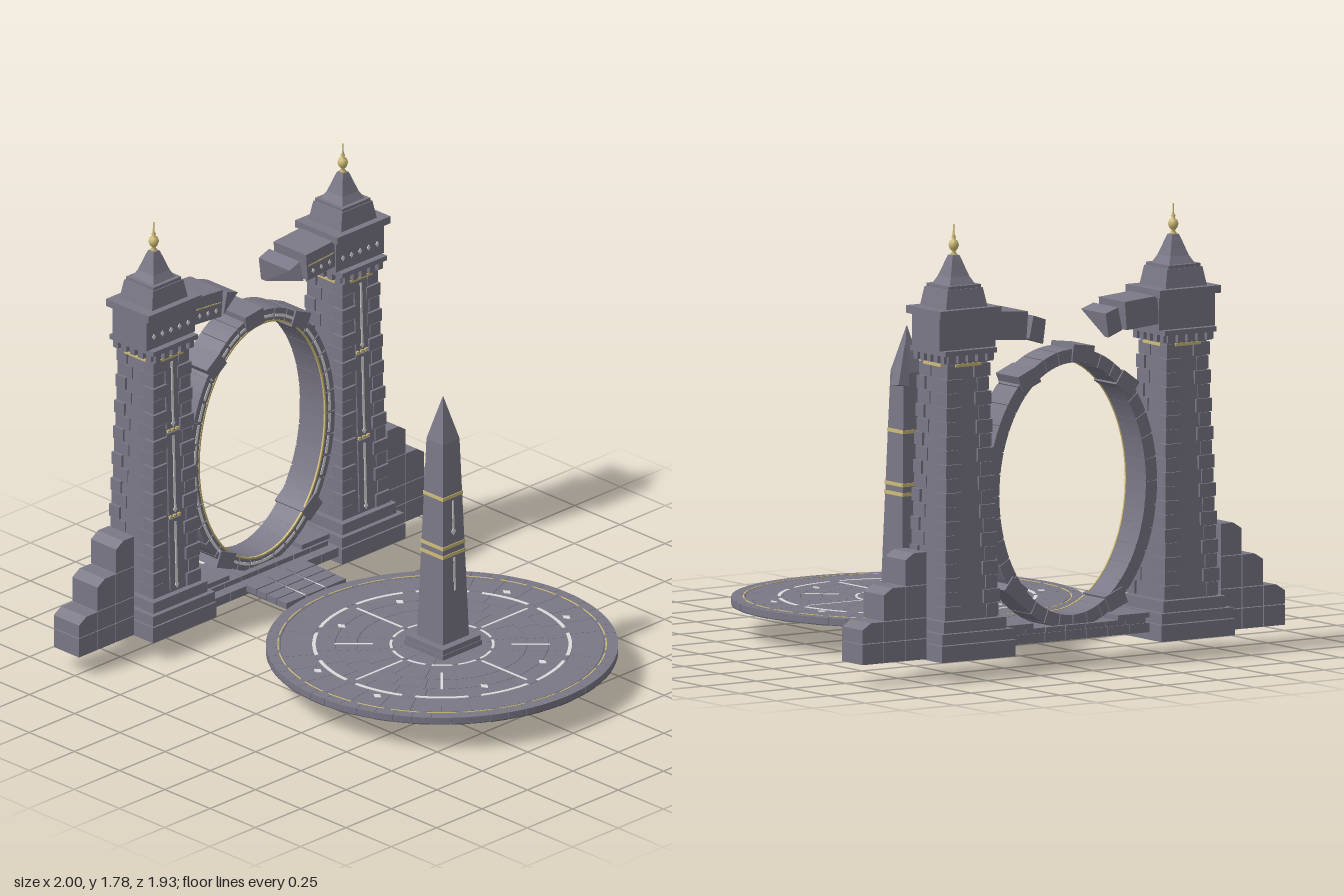
import * as THREE from 'three';

const mat = (name, color) => {
  const m = new THREE.MeshStandardMaterial({ color });
  m.name = name;
  return m;
};
const stone = mat('stone', 0x7b7887);
const dark = mat('dark stone', 0x5a5862);
const white = mat('pale inlay', 0xdddcdc);
const gold = mat('gold', 0xcfbd78);

const group = (parent, name, x = 0, y = 0, z = 0) => {
  const g = new THREE.Group();
  g.name = name;
  g.position.set(x, y, z);
  parent.add(g);
  return g;
};
const add = (parent, name, geo, m, x = 0, y = 0, z = 0) => {
  const mesh = new THREE.Mesh(geo, m);
  mesh.name = name;
  mesh.position.set(x, y, z);
  parent.add(mesh);
  return mesh;
};
// Box given by its lower and upper corners
const block = (parent, name, m, x0, x1, y0, y1, z0, z1) =>
  add(parent, name, new THREE.BoxGeometry(x1 - x0, y1 - y0, z1 - z0), m, (x0 + x1) / 2, (y0 + y1) / 2, (z0 + z1) / 2);
// Tapered box from y0 to y1: half widths a (bottom) and b (top)
const taper = (parent, name, m, y0, y1, ax, az, bx = ax, bz = az) => {
  const geo = new THREE.BoxGeometry(2, y1 - y0, 2);
  const p = geo.attributes.position;
  for (let i = 0; i < p.count; i++) {
    const top = p.getY(i) > 0;
    p.setX(i, p.getX(i) * (top ? bx : ax));
    p.setZ(i, p.getZ(i) * (top ? bz : az));
  }
  geo.computeVertexNormals();
  return add(parent, name, geo, m, 0, (y0 + y1) / 2, 0);
};
// Curved slab between two ellipses, from angle a0 to a1
const sector = (rx0, ry0, rx1, ry1, a0, a1, depth, n = 4) => {
  const pts = [];
  for (let i = 0; i <= n; i++) {
    const a = a0 + (a1 - a0) * i / n;
    pts.push(new THREE.Vector2(rx1 * Math.cos(a), ry1 * Math.sin(a)));
  }
  for (let i = n; i >= 0; i--) {
    const a = a0 + (a1 - a0) * i / n;
    pts.push(new THREE.Vector2(rx0 * Math.cos(a), ry0 * Math.sin(a)));
  }
  return new THREE.ExtrudeGeometry(new THREE.Shape(pts), { depth, bevelEnabled: false });
};
const diamond = (parent, s, x, y, z) => {
  const geo = new THREE.BoxGeometry(s, s, 0.005).rotateZ(Math.PI / 4).scale(0.75, 1, 1);
  return add(parent, 'diamondInlay', geo, white, x, y, z);
};
const TAU = Math.PI * 2;

function plaza(root) {
  const g = group(root, 'roundPlaza', 0, 0.115, 0.275);
  const flat = (name, m, r0, r1, a0, a1, y0, y1) =>
    add(g, name, sector(r0, r0, r1, r1, a0, a1, y1 - y0, 6).rotateX(-Math.PI / 2), m, 0, y0, 0);
  // Rings of paving over dark undersides: inner radius, outer radius, number of slabs
  [[0.03, 0.198, 10], [0.2, 0.331, 16], [0.333, 0.416, 20], [0.418, 0.506, 24], [0.508, 0.631, 32], [0.633, 0.687, 56]]
    .forEach(([r0, r1, n], k) => {
      for (let i = 0; i < n; i++) {
        const a = (i + (k % 2) / 2) / n * TAU, b = a + TAU / n;
        flat('pavingSlab', stone, r0, r1, a, b - 0.0018 / r1, 0.004, 0.03);
        flat('slabUnderside', dark, r0, r1, a, b - 0.003 / r1, i % 2 ? 0 : 0.001, 0.004);
      }
    });
  add(g, 'plazaBed', new THREE.CylinderGeometry(0.68, 0.68, 0.014, 72), dark, 0, 0.013, 0);
  // Inlaid circles and rays
  [[0.2, 12, white, 0.01, 0.88], [0.5, 12, white, 0.014, 0.9], [0.64, 28, gold, 0.005, 0.9]].forEach(([r, n, m, w, f]) => {
    for (let i = 0; i < n; i++) flat('inlaidArc', m, r - w / 2, r + w / 2, (i + 1 - f) / n * TAU, (i + f) / n * TAU, 0.029, 0.032);
  });
  for (let i = 0; i < 8; i++) {
    const ray = group(g, 'inlaidRay');
    ray.rotation.y = i * TAU / 8;
    block(ray, 'rayInlay', white, i % 2 ? 0.27 : 0.22, i % 2 ? 0.42 : 0.47, 0.029, 0.032, -0.005, 0.005);
  }
  for (const sx of [-1, 1]) for (const sz of [-1, 1])
    for (const [x, z] of [[0.16, 0.395], [0.52, 0.165]])
      diamond(g, 0.03, sx * x, 0.03, sz * z).rotation.x = -Math.PI / 2;
}

function obelisk(root) {
  const g = group(root, 'obelisk', 0, 0, 0.28);
  const half = y => 0.072 - (y - 0.18) * 0.031;
  taper(g, 'foundation', stone, 0, 0.125, 0.131, 0.131);
  taper(g, 'plinth', stone, 0.125, 0.165, 0.107, 0.107);
  taper(g, 'plinthStep', stone, 0.165, 0.187, 0.104, 0.104);
  taper(g, 'shaft', stone, 0.187, 1.03, half(0.187), half(0.187), half(1.03), half(1.03));
  taper(g, 'pointedTip', stone, 1.03, 1.21, 0.046, 0.046, 0.001, 0.001);
  for (const y of [0.555, 0.592, 0.8]) {
    const w = half(y) + 0.003;
    taper(g, 'goldBand', gold, y - 0.007, y + 0.007, w, w);
  }
  // Split corner leaning against the tip
  const shard = taper(group(g, 'brokenCorner', 0.04, 0, -0.026), 'shard', stone, 0.98, 1.14, 0.026, 0.03, 0.006, 0.012);
  shard.rotation.set(0.1, 0, 0.2);
  // Pale lines following the sloped front
  for (const [y0, y1] of [[0.4, 0.54], [0.66, 0.78]]) {
    const y = (y0 + y1) / 2;
    const line = add(g, 'frontInlay', new THREE.BoxGeometry(0.009, y1 - y0, 0.005), white, 0, y, half(y));
    line.rotation.x = -0.031;
  }
  diamond(g, 0.024, 0, 0.65, half(0.65));
}

function tower(root, s) {
  const g = group(root, s > 0 ? 'leftTower' : 'rightTower', s * 0.52, 0, -0.797);
  const half = y => 0.122 - (y - 0.23) * 0.03;
  taper(g, 'base', stone, 0.08, 0.145, 0.174, 0.172);
  taper(g, 'baseCourse', stone, 0.148, 0.19, 0.17, 0.168);
  taper(g, 'baseStep', stone, 0.19, 0.235, 0.148, 0.148);
  taper(g, 'shaftCore', stone, 0.235, 1.25, half(0.235), half(0.235), half(1.25), half(1.25));
  // Alternating corner stones of uneven depth
  const n = 18, h = 1.0 / n;
  for (let i = 0; i < n; i++) {
    const y = 0.237 + i * h;
    for (let k = 0; k < 4; k++) {
      const odd = (i + k) % 2, e = half(y + h / 2) + (odd ? 0.01 : 0.005);
      const lx = odd ? 0.075 : 0.055, lz = odd ? 0.055 : 0.08;
      const sx = k % 2 ? 1 : -1, sz = k < 2 ? 1 : -1;
      add(g, 'cornerStone', new THREE.BoxGeometry(lx, h - 0.004, lz), stone, sx * (e - lx / 2), y + h / 2, sz * (e - lz / 2));
    }
  }
  // Front strip with pale line and gold marks
  const strip = group(g, 'frontStrip', 0, 0.735, half(0.735));
  strip.rotation.x = -0.03;
  for (const [y0, y1] of [[-0.49, -0.19], [-0.17, 0.175], [0.195, 0.49]]) {
    block(strip, 'stripPanel', stone, -0.034, 0.034, y0, y1, -0.01, 0.006);
    block(strip, 'stripInlay', white, -0.005, 0.005, y0 + 0.015, y1 - 0.015, 0.004, 0.009);
    diamond(strip, 0.02, 0, y0 + 0.018, 0.007);
  }
  for (const y of [-0.18, 0.185]) for (const x of [-0.024, 0, 0.024])
    block(strip, 'goldMark', gold, x - 0.007, x + 0.007, y - 0.005, y + 0.005, 0, 0.008);
  // Brackets and gold strips under the head, on all four sides
  taper(g, 'bracketCourse', stone, 1.24, 1.275, 0.1, 0.1);
  for (let k = 0; k < 4; k++) {
    const side = group(g, 'bracketRow');
    side.rotation.y = k * Math.PI / 2;
    block(side, 'goldStrip', gold, -0.06, 0.06, 1.228, 1.24, 0.096, 0.104);
    for (let i = -2; i <= 2; i++) block(side, 'bracket', stone, i * 0.046 - 0.013, i * 0.046 + 0.013, 1.245, 1.282, 0.09, 0.118);
  }
  taper(g, 'headSlab', stone, 1.275, 1.295, 0.122, 0.122);
  taper(g, 'head', stone, 1.295, 1.425, 0.133, 0.095);
  for (let i = -2; i <= 2; i++) diamond(g, 0.018, i * 0.047, 1.345, 0.095);
  taper(g, 'cornice', stone, 1.425, 1.455, 0.145, 0.118);
  taper(g, 'roofTier', stone, 1.455, 1.53, 0.098, 0.09, 0.083, 0.08);
  taper(g, 'roofLip', stone, 1.53, 1.543, 0.076, 0.076);
  // Concave four sided spire
  const prof = [[0.06, 1.543], [0.044, 1.573], [0.034, 1.602], [0.025, 1.63], [0.016, 1.655]];
  for (let i = 0; i < 4; i++) taper(g, 'spire', stone, prof[i][1], prof[i + 1][1], prof[i][0], prof[i][0], prof[i + 1][0], prof[i + 1][0]);
  const fin = [[0, 1.65], [0.012, 1.652], [0.013, 1.66], [0.006, 1.668], [0.016, 1.68], [0.021, 1.695], [0.016, 1.71],
    [0.006, 1.717], [0.009, 1.726], [0.004, 1.735], [0.003, 1.775], [0, 1.777]].map(p => new THREE.Vector2(...p));
  add(g, 'finial', new THREE.LatheGeometry(fin, 14), gold);

  // Broken lintel reaching inwards
  const lintel = group(g, 'brokenLintel', -s * 0.21, 1.37, 0);
  lintel.rotation.z = s * 0.08;
  block(lintel, 'lintelBlock', stone, -0.077, 0.077, -0.056, 0.056, -0.09, 0.09);
  block(lintel, 'lintelLine', gold, -0.068, 0.068, 0.003, 0.008, 0.088, 0.092);
  for (let i = -1; i <= 1; i++) diamond(lintel, 0.016, i * 0.045, -0.025, 0.09);
  const chip = new THREE.Shape([[0.017, 0.055], [0.075, 0.035], [0.062, -0.06], [-0.003, -0.035]].map(([a, b]) => new THREE.Vector2(-s * a, b)));
  const cg = new THREE.ExtrudeGeometry(chip, { depth: 0.17, bevelEnabled: false }).translate(0, 0, -0.085);
  const p = cg.attributes.position;
  // Break away the lower front so the fracture faces down
  for (let i = 0; i < p.count; i++) if (p.getY(i) < -0.05 && p.getZ(i) > 0) p.setZ(i, -0.06);
  cg.computeVertexNormals();
  add(g, 'lintelFragment', cg, stone, -s * 0.303, 1.345, 0);

  // Stepped side wall, outermost column lowest
  const wall = group(root, s > 0 ? 'leftStepWall' : 'rightStepWall', 0, 0, -0.797);
  [[0.085, 0.168, 0.25, 0.38, 0.51], [0.085, 0.168, 0.25, 0.38], [0.085, 0.168, 0.25]].forEach((ys, c) => {
    for (let i = 0; i < ys.length - 1; i++) {
      const x0 = 0.697 + c * 0.102, x1 = x0 + 0.099, y0 = ys[i], y1 = ys[i + 1] - 0.003;
      const cut = i === ys.length - 2 ? 0.025 : 0.001;
      const sh = new THREE.Shape([[x0, y0], [x1, y0], [x1, y1 - cut], [x1 - cut * 1.6, y1], [x0, y1]].map(([a, b]) => new THREE.Vector2(s * a, b)));
      add(wall, 'wallBlock', new THREE.ExtrudeGeometry(sh, { depth: 0.14, bevelEnabled: false }), stone, 0, 0, -0.07);
    }
  });
}

function ring(root) {
  const g = group(root, 'ovalRing', 0, 0.7, -0.79);
  const n = 36;
  for (let i = 0; i < n; i++) {
    const a = i / n * TAU, b = a + TAU / n;
    add(g, 'ringStone', sector(0.347, 0.497, 0.4, 0.55, a, b - 0.01, 0.14, 3), stone, 0, 0, -0.07);
    add(g, 'ringInlay', sector(0.365, 0.515, 0.377, 0.527, a + 0.008, b - 0.018, 0.004, 3), white, 0, 0, 0.068);
  }
  for (let i = 0; i < 4; i++) {
    const a = i / 4 * TAU;
    add(g, 'ringCore', sector(0.348, 0.498, 0.396, 0.546, a, a + TAU / 4, 0.13, 14), stone, 0, 0, -0.065);
    add(g, 'goldRim', sector(0.345, 0.495, 0.352, 0.502, a, a + TAU / 4, 0.008, 14), gold, 0, 0, 0.064);
  }
  // Larger stones jutting from the ring: angle in degrees, width
  for (const [deg, w] of [[97, 0.1], [57, 0.09], [132, 0.09], [-45, 0.09], [-122, 0.09]]) {
    const a = deg * Math.PI / 180;
    const m = add(g, 'juttingStone', new THREE.BoxGeometry(w, 0.066, 0.155), stone, 0.383 * Math.cos(a), 0.533 * Math.sin(a), 0);
    m.rotation.z = Math.atan2(Math.sin(a) / 0.4, Math.cos(a) / 0.55) - Math.PI / 2 + 0.04;
  }
}

function threshold(root) {
  const g = group(root, 'threshold');
  // Low sill between the towers
  for (let i = -3; i <= 3; i++) {
    block(g, 'sillStone', stone, i * 0.1 - 0.049, i * 0.1 + 0.049, 0.11, 0.147, -0.885, -0.645);
    block(g, 'upperSillStone', stone, i * 0.095 - 0.046, i * 0.095 + 0.046, 0.147, 0.167, -0.88, -0.69);
  }
  for (const s of [-1, 1]) block(g, 'sillEnd', stone, Math.min(s * 0.2, s * 0.36), Math.max(s * 0.2, s * 0.36), 0.167, 0.187, -0.88, -0.7);
  // Paved path to the plaza, dark beneath
  block(g, 'pathBed', dark, -0.16, 0.16, 0.119, 0.126, -0.64, -0.424);
  for (let r = 0; r < 4; r++) {
    const z = -0.642 + r * 0.056;
    for (const [x0, x1] of [[-0.163, -0.058], [-0.048, 0.048], [0.058, 0.163]])
      block(g, 'pathSlab', stone, x0, x1, 0.126 - r * 0.002, 0.152 - r * 0.002, z, z + 0.053);
  }
  for (const s of [-1, 1]) block(g, 'pathInlay', white, s * 0.053 - 0.004, s * 0.053 + 0.004, 0.138, 0.145, -0.63, -0.43);
}

export function createModel() {
  const root = new THREE.Group();
  root.name = 'ruinedGateAndPlaza';
  plaza(root);
  obelisk(root);
  for (const s of [-1, 1]) tower(root, s);
  ring(root);
  threshold(root);
  return root;
}
